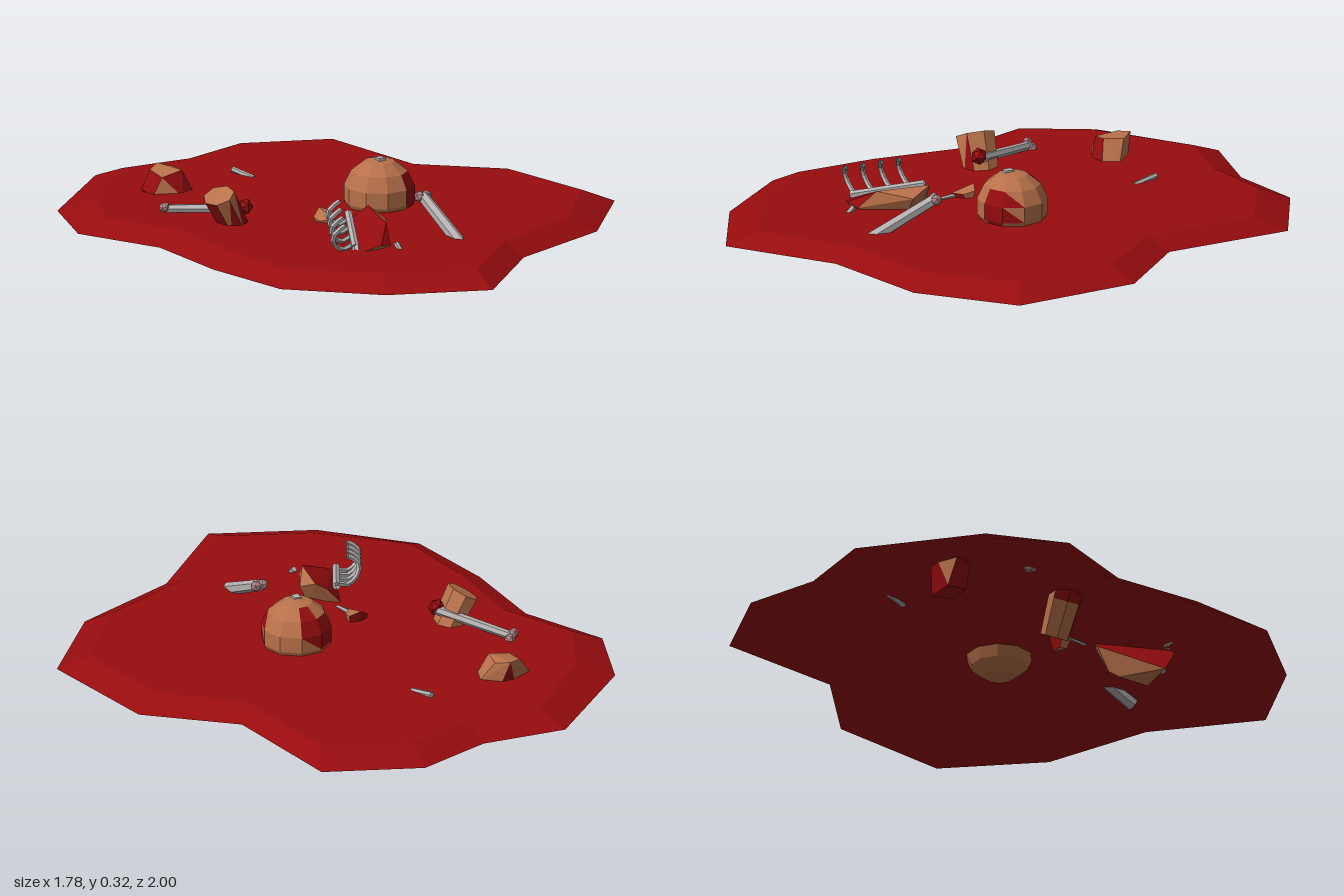
import * as THREE from 'three';
import { ConvexGeometry } from 'three/addons/geometries/ConvexGeometry.js';

const V = (x, y, z) => new THREE.Vector3(x, y, z);

function material(name, color, side = THREE.FrontSide) {
  const m = new THREE.MeshStandardMaterial({ color, flatShading: true, side });
  m.name = name;
  return m;
}

export function createModel() {
  const root = new THREE.Group();
  const poolRed = material('pool red', 0x980c0e, THREE.DoubleSide);
  const red = material('flesh red', 0x930b0e);
  const skin = material('skin', 0xb8714a);
  const bone = material('bone', 0xb4b0b0, THREE.DoubleSide);
  const joint = material('bone joint', 0xb5858a);

  const add = (name, geometry, mat, parent = root) => {
    const mesh = new THREE.Mesh(geometry, mat);
    mesh.name = name;
    parent.add(mesh);
    return mesh;
  };

  // Faceted chunk: skin, with red where the rule(centre, normal) holds
  function chunk(name, source, isRed) {
    const g = source.index ? source.toNonIndexed() : source;
    const p = g.attributes.position;
    g.clearGroups();
    const t = new THREE.Triangle(), c = V(0, 0, 0), n = V(0, 0, 0);
    for (let i = 0; i < p.count; i += 3) {
      t.setFromAttributeAndIndices(p, i, i + 1, i + 2);
      t.getMidpoint(c);
      t.getNormal(n);
      g.addGroup(i, 3, isRed(c, n) ? 1 : 0);
    }
    return add(name, g, [skin, red]);
  }
  const hull = (pts) => new ConvexGeometry(pts.map((p) => V(...p)));

  // Straight tapered bone from a to b, with an optional joint knob at a
  function longBone(name, a, b, r0, r1, knob) {
    const group = new THREE.Group();
    group.name = name;
    const d = b.clone().sub(a), len = d.length();
    group.position.copy(a).addScaledVector(d, 0.5);
    group.quaternion.setFromUnitVectors(V(0, 1, 0), d.normalize());
    add(name + 'Shaft', new THREE.CylinderGeometry(r1, r0, len, 6), bone, group);
    if (knob) {
      for (const s of [-1, 1]) {
        const k = add(name + 'Joint', new THREE.IcosahedronGeometry(knob, 0), joint, group);
        k.position.set(s * knob * 0.6, -len / 2, 0);
      }
    }
    root.add(group);
  }

  // Pool: flat top and sloping rim, open below
  const outer = [[-0.45, -0.945], [-0.15, -0.918], [0.115, -1], [0.447, -0.87], [0.52, -0.41], [0.8, -0.18],
    [0.887, 0.27], [0.632, 0.563], [0.247, 0.706], [-0.06, 0.995], [-0.405, 0.855], [-0.67, 0.6],
    [-0.735, 0.27], [-0.745, -0.06], [-0.89, -0.355], [-0.797, -0.637]];
  const inner = [[-0.405, -0.838], [-0.15, -0.817], [0.1, -0.886], [0.395, -0.765], [0.463, -0.352], [0.706, -0.13],
    [0.78, 0.225], [0.558, 0.5], [0.22, 0.627], [-0.05, 0.876], [-0.335, 0.76], [-0.6, 0.53],
    [-0.643, 0.24], [-0.648, -0.077], [-0.78, -0.34], [-0.685, -0.57]];
  const top = new THREE.ShapeGeometry(new THREE.Shape(inner.map(([x, z]) => new THREE.Vector2(x, -z))));
  top.rotateX(-Math.PI / 2).translate(0, 0.155, 0);
  add('poolTop', top, poolRed);
  const rim = [];
  outer.forEach((o, i) => {
    const j = (i + 1) % outer.length;
    const a = [o[0], 0.11, o[1]], b = [outer[j][0], 0.11, outer[j][1]];
    const c = [inner[j][0], 0.155, inner[j][1]], d = [inner[i][0], 0.155, inner[i][1]];
    rim.push(...a, ...d, ...c, ...a, ...c, ...b);
  });
  const rimGeometry = new THREE.BufferGeometry();
  rimGeometry.setAttribute('position', new THREE.Float32BufferAttribute(rim, 3));
  rimGeometry.computeVertexNormals();
  add('poolRim', rimGeometry, poolRed);

  // Round piece with red bands on two sides
  const ball = new THREE.SphereGeometry(0.125, 10, 7);
  const front = V(0.65, 0.1, 0.65).normalize(), back = V(-0.35, 0.35, -0.8).normalize();
  const ballMesh = chunk('roundPiece', ball, (c) => {
    const d = c.clone().normalize();
    return d.dot(front) > 0.86 || (d.dot(back) > 0.78 && Math.abs(d.x + 0.35) > 0.12);
  });
  ballMesh.position.set(0.1, 0.196, 0.008);
  const stub = add('boneChip', new THREE.BoxGeometry(0.025, 0.01, 0.03), bone);
  stub.position.set(0.095, 0.319, 0.02);

  // Large slanted piece, red on the hollow side and at the front
  chunk('ribPiece', hull([
    [-0.13, 0.21, 0.23], [-0.09, 0.235, 0.24], [-0.065, 0.2, 0.31], [-0.1, 0.13, 0.32], [-0.19, 0.14, 0.22],
    [-0.2, 0.05, 0.26], [-0.13, 0.22, 0.42], [-0.15, 0.16, 0.48], [-0.28, 0.15, 0.48], [-0.2, 0.17, 0.5],
    [-0.31, 0.06, 0.42], [-0.23, 0.02, 0.4], [-0.22, 0.03, 0.29]]),
  (c, n) => (n.x < -0.3 && n.y > 0.1) || (c.z > 0.4 && n.y > 0.2));

  // Spine and curling ribs
  const spine = new THREE.LineCurve3(V(-0.165, 0.215, 0.23), V(-0.28, 0.165, 0.46));
  add('spine', new THREE.TubeGeometry(spine, 1, 0.014, 6), bone);
  for (let i = 0; i < 4; i++) {
    const b = spine.getPoint(0.14 + i * 0.24);
    const at = (x, y, z) => V(b.x + x, b.y + y, b.z + z);
    const path = new THREE.CatmullRomCurve3([b, at(-0.05, -0.015, 0.005), at(-0.092, 0.015, 0.015),
      at(-0.095, 0.05, 0.025), at(-0.06, 0.078, 0.035)]);
    add('rib', new THREE.TubeGeometry(path, 8, 0.009, 5), bone);
  }

  // Slanted limb piece with a long bone
  const limb = new THREE.CylinderGeometry(0.052, 0.04, 0.26, 7, 2);
  limb.scale(1, 1, 1.35).rotateZ(0.5).translate(-0.435, 0.14, -0.075);
  chunk('limbPiece', limb, (c, n) => (n.z > 0.3 && c.y < 0.2) || (n.x < -0.6 && c.y > 0.14) || c.y < 0.03);
  longBone('limbBone', V(-0.57, 0.165, -0.3), V(-0.4, 0.2, -0.06), 0.015, 0.017, 0.02);
  const socket = add('limbSocket', new THREE.IcosahedronGeometry(0.03, 0), red);
  socket.position.set(-0.405, 0.205, -0.055);

  // Blocky piece at the back
  chunk('blockPiece', hull([
    [-0.46, 0.22, -0.58], [-0.41, 0.23, -0.61], [-0.37, 0.22, -0.57], [-0.38, 0.225, -0.5], [-0.46, 0.21, -0.5],
    [-0.505, 0.16, -0.56], [-0.495, 0.15, -0.5], [-0.325, 0.15, -0.54], [-0.34, 0.14, -0.48], [-0.4, 0.14, -0.46],
    [-0.46, 0.065, -0.57], [-0.36, 0.06, -0.57], [-0.37, 0.065, -0.49], [-0.45, 0.07, -0.49]]),
  (c, n) => c.y < 0.13 || (n.x < -0.4 && c.z > -0.56) || (n.z > 0.6 && c.x > -0.42));

  // Small piece with a thin bone
  chunk('smallPiece', hull([
    [-0.205, 0.17, 0.07], [-0.17, 0.195, 0.05], [-0.13, 0.18, 0.06], [-0.135, 0.17, 0.1], [-0.165, 0.17, 0.135],
    [-0.2, 0.16, 0.1], [-0.185, 0.1, 0.07], [-0.14, 0.1, 0.07], [-0.165, 0.11, 0.11]]),
  (c, n) => n.z < -0.3 || (n.z > 0.5 && c.x > -0.17));
  longBone('smallBone', V(-0.165, 0.16, 0.12), V(-0.152, 0.155, 0.195), 0.009, 0.007, 0);

  // Loose bones
  longBone('looseBone', V(0.1, 0.25, 0.29), V(0.105, 0.12, 0.56), 0.02, 0.023, 0.021);
  longBone('backSplinter', V(-0.115, 0.165, -0.595), V(-0.085, 0.15, -0.505), 0.01, 0.01, 0);
  longBone('frontSplinter', V(-0.14, 0.17, 0.5), V(-0.135, 0.14, 0.53), 0.01, 0.01, 0);

  return root;
}
